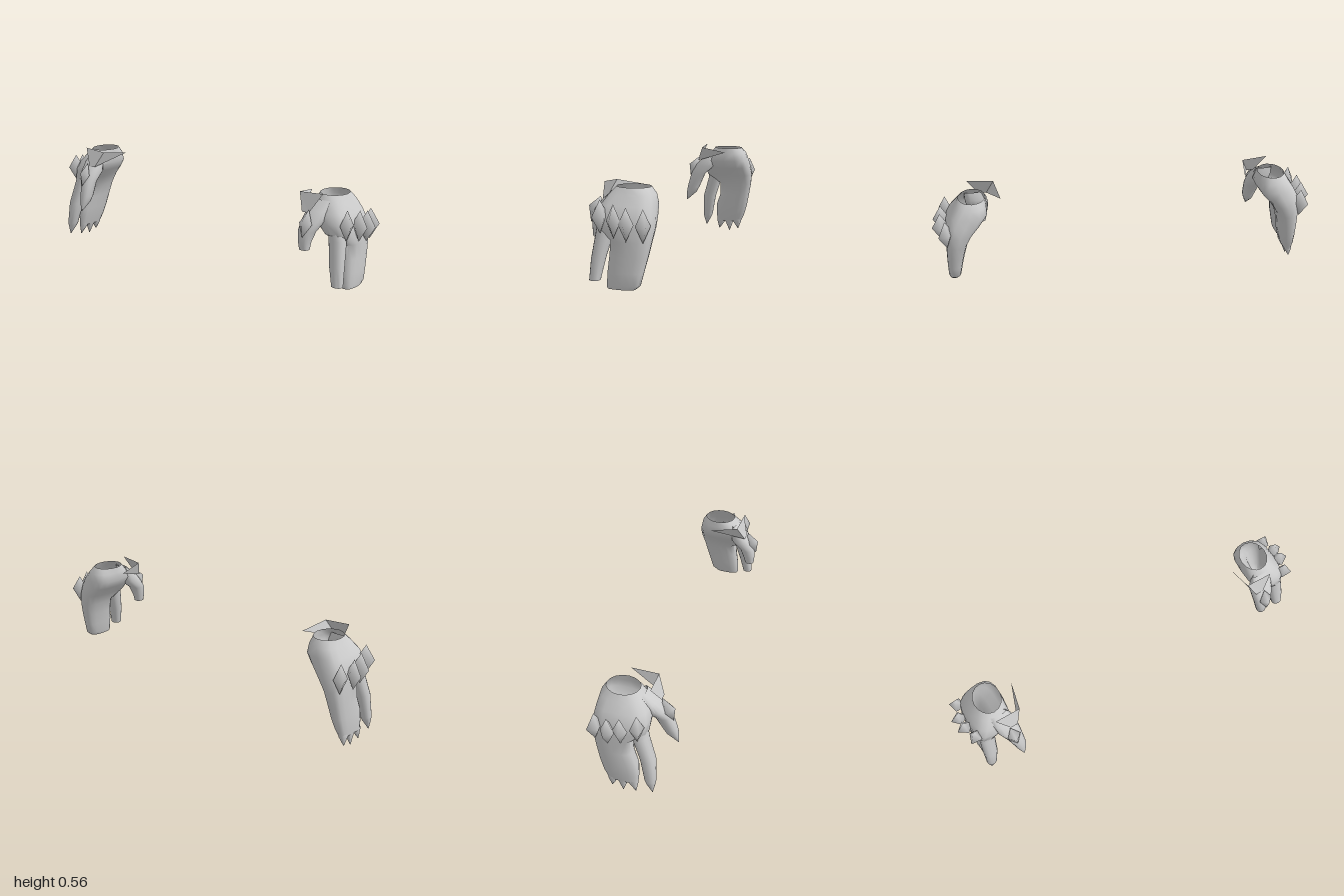
import * as THREE from 'three';
import { toCreasedNormals } from 'three/addons/utils/BufferGeometryUtils.js';

const mat = new THREE.MeshStandardMaterial({ color: 0xcccccc, side: THREE.DoubleSide });
const SEG = 16;
const soft = (v, p) => Math.sign(v) * Math.abs(v) ** p;

// Skin rounded cross-sections, listed from top to bottom as
// [y, x, z, radiusX, radiusZ, roundness] (1 is an ellipse, less is squarer)
function loft(name, rows, side) {
  const pos = [], idx = [];
  const tri = (a, b, c) => (side > 0 ? idx.push(a, b, c) : idx.push(a, c, b));
  for (const [y, x, z, rx, rz, p = 0.85] of rows) {
    for (let j = 0; j < SEG; j++) {
      const a = (j / SEG) * Math.PI * 2;
      pos.push(side * (x + rx * soft(Math.cos(a), p)), y, z + rz * soft(Math.sin(a), p));
    }
  }
  for (let i = 0; i < rows.length - 1; i++) {
    for (let j = 0; j < SEG; j++) {
      const k = (j + 1) % SEG, a = i * SEG + j, b = i * SEG + k;
      tri(a, b, a + SEG);
      tri(b, b + SEG, a + SEG);
    }
  }
  // close the lower end
  const [y, x, z] = rows[rows.length - 1];
  const base = (rows.length - 1) * SEG;
  pos.push(side * x, y, z);
  for (let j = 0; j < SEG; j++) tri(rows.length * SEG, base + j, base + ((j + 1) % SEG));
  const geo = new THREE.BufferGeometry();
  geo.setAttribute('position', new THREE.Float32BufferAttribute(pos, 3));
  geo.setIndex(idx);
  const mesh = new THREE.Mesh(toCreasedNormals(geo, 0.9), mat);
  mesh.name = name;
  return mesh;
}

// Diamond-shaped stud with smooth shading
function stud(name, [x, y, z], [rx, ry, rz], tilt, yaw, side) {
  const geo = new THREE.SphereGeometry(1, 4, 2).scale(rx, ry, rz);
  const mesh = new THREE.Mesh(geo, mat);
  mesh.position.set(side * x, y, z);
  mesh.rotation.set(tilt, side * yaw, 0);
  mesh.name = name;
  return mesh;
}

// Folded cuff flap above the thumb: one panel at the front, one at the side
function cuffFlap(side) {
  const corners = [
    [0.643, 0.527, -0.08], [0.67, 0.55, 0.07], [0.805, 0.56, 0.075],
    [0.75, 0.465, 0.11], [0.71, 0.465, 0.108],
  ];
  const pos = corners.flatMap(([x, y, z]) => [side * x, y, z]);
  let idx = [0, 4, 1, 1, 4, 3, 1, 3, 2];
  if (side < 0) idx = idx.reverse();
  let geo = new THREE.BufferGeometry();
  geo.setAttribute('position', new THREE.Float32BufferAttribute(pos, 3));
  geo.setIndex(idx);
  geo = geo.toNonIndexed();
  geo.computeVertexNormals();
  const mesh = new THREE.Mesh(geo, mat);
  mesh.name = 'cuffFlap';
  return mesh;
}

function glove(side, clawed) {
  const g = new THREE.Group();
  g.name = clawed ? 'clawedGlove' : 'plainGlove';

  // wrist, palm and the three joined fingers
  const hand = [
    [0.543, 0.787, -0.062, 0.069, 0.082, 1],
    [0.51, 0.795, -0.06, 0.08, 0.107, 0.75],
    [0.465, 0.809, -0.05, 0.096, 0.126, 0.6],
    [0.42, 0.836, -0.048, 0.093, 0.136, 0.65],
    [0.37, 0.862, -0.052, 0.073, 0.138, 0.7],
    [0.31, 0.882, -0.085, 0.056, 0.096, 0.75],
    [0.24, 0.893, -0.076, 0.047, 0.091, 0.75],
  ];
  if (clawed) {
    hand.push([0.17, 0.902, -0.055, 0.04, 0.097, 0.75],
      [0.11, 0.91, -0.044, 0.032, 0.089, 0.75], [0.064, 0.916, -0.035, 0.022, 0.076, 0.75]);
  } else {
    hand.push([0.17, 0.902, -0.064, 0.04, 0.086, 0.75],
      [0.112, 0.908, -0.056, 0.034, 0.08, 0.75], [0.093, 0.91, -0.045, 0.029, 0.067, 0.75]);
  }
  g.add(loft('hand', hand, side));

  // index finger
  const index = [
    [0.42, 0.86, 0.035, 0.04, 0.045],
    [0.34, 0.877, 0.046, 0.042, 0.04],
  ];
  if (clawed) {
    index.push([0.22, 0.895, 0.087, 0.038, 0.037], [0.1, 0.913, 0.103, 0.028, 0.028],
      [0.08, 0.916, 0.106, 0.023, 0.022], [0.03, 0.925, 0.115, 0.002, 0.002]);
  } else {
    index.push([0.22, 0.894, 0.072, 0.037, 0.032], [0.123, 0.908, 0.085, 0.028, 0.025]);
  }
  g.add(loft('indexFinger', index, side));

  // thumb, with its broad web rising to the wrist
  const thumb = [
    [0.52, 0.777, 0.03, 0.045, 0.012],
    [0.475, 0.769, 0.053, 0.057, 0.042],
    [0.43, 0.763, 0.077, 0.058, 0.058],
    [0.38, 0.75, 0.118, 0.043, 0.042],
  ];
  if (clawed) {
    thumb.push([0.3, 0.742, 0.145, 0.032, 0.036], [0.265, 0.743, 0.158, 0.023, 0.03],
      [0.215, 0.745, 0.188, 0.002, 0.002]);
  } else {
    thumb.push([0.325, 0.746, 0.13, 0.03, 0.031], [0.29, 0.748, 0.133, 0.024, 0.025]);
  }
  g.add(loft('thumb', thumb, side));

  // claws on the joined fingers
  if (clawed) {
    [[0.016, 0.03, 0.01], [-0.036, -0.035, 0], [-0.086, -0.09, 0.015]].forEach(([z, tipZ, tipY]) => {
      g.add(loft('claw', [
        [0.075, 0.915, z, 0.021, 0.025],
        [0.06, 0.917, z, 0.02, 0.025],
        [tipY, 0.925, tipZ, 0.002, 0.002],
      ], side));
    });
  }

  // knuckle studs fanned around the hand, and the thumb stud
  [[0.925, 0.42, 0.049, -0.6], [0.95, 0.407, -0.025, -0.1], [0.955, 0.395, -0.086, 0.1], [0.932, 0.388, -0.158, 0.6]]
    .forEach(([x, y, z, yaw]) => g.add(stud('knuckleStud', [x, y, z], [0.045, 0.077, 0.036], 0, yaw, side)));
  g.add(stud('thumbStud', [0.755, 0.42, 0.142], [0.036, 0.068, 0.038], -0.4, 0, side));

  g.add(cuffFlap(side));
  return g;
}

export function createModel() {
  const model = new THREE.Group();
  model.name = 'glovePair';
  model.add(glove(1, false), glove(-1, true));
  return model;
}
